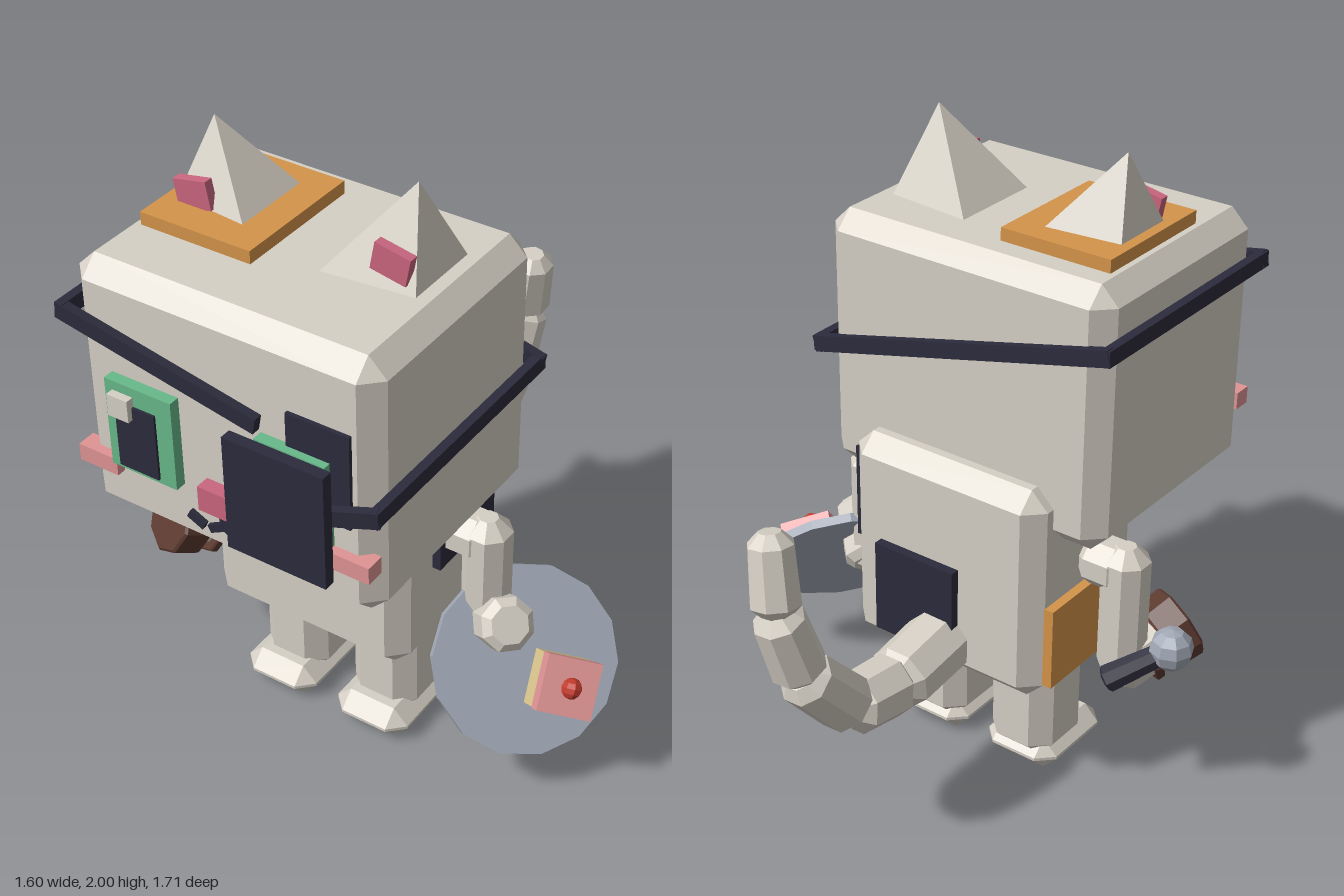
import * as THREE from 'three';
import { ConvexGeometry } from 'three/addons/geometries/ConvexGeometry.js';

const V = (x, y, z) => new THREE.Vector3(x, y, z);
const UP = V(0, 1, 0);
const mat = (name, color) => Object.assign(new THREE.MeshStandardMaterial({ color }), { name });

export function createModel() {
  const model = new THREE.Group();
  const ivory = mat('ivory', 0xd6d0c5), navy = mat('navy', 0x2c2b3c);
  const green = mat('green', 0x67b88a), orange = mat('orange', 0xd4944a);
  const brown = mat('brown', 0x5c3a30), red = mat('red', 0xc23a2c);
  const cream = mat('cream', 0xdcc88e), grey = mat('grey', 0xa0a7b4);
  const pink = mat('pink', 0xdf9494), rose = mat('rose', 0xca667f);

  const add = (name, geo, m, parent = model) => {
    const mesh = new THREE.Mesh(geo, m);
    mesh.name = name;
    parent.add(mesh);
    return mesh;
  };
  const flat = (geo) => {
    const g = geo.index ? geo.toNonIndexed() : geo;
    g.computeVertexNormals();
    return g;
  };

  // Plain box given by its limits on each axis
  const box = (name, m, [x0, x1], [y0, y1], [z0, z1]) => {
    const b = add(name, new THREE.BoxGeometry(x1 - x0, y1 - y0, z1 - z0), m);
    b.position.set((x0 + x1) / 2, (y0 + y1) / 2, (z0 + z1) / 2);
    return b;
  };

  // Box with every edge cut off at 45 degrees
  const chamferBox = (name, m, [x0, x1], [y0, y1], [z0, z1], c) => {
    const h = [(x1 - x0) / 2, (y1 - y0) / 2, (z1 - z0) / 2], pts = [];
    for (const sx of [-1, 1]) for (const sy of [-1, 1]) for (const sz of [-1, 1])
      for (let k = 0; k < 3; k++) {
        const d = h.map((v, i) => (i === k ? v : v - c));
        pts.push(V(sx * d[0], sy * d[1], sz * d[2]));
      }
    const b = add(name, new ConvexGeometry(pts), m);
    b.position.set((x0 + x1) / 2, (y0 + y1) / 2, (z0 + z1) / 2);
    return b;
  };

  // Faceted limb piece with cut ends, running from a to b
  const limb = (name, m, a, b, r0, r1 = r0, c = 0.04, sides = 8) => {
    const dir = b.clone().sub(a), len = dir.length();
    const profile = [[0, 0], [Math.max(r0 - c, 0.01), 0], [r0, c], [r1, len - c], [Math.max(r1 - c, 0.01), len], [0, len]];
    const geo = new THREE.LatheGeometry(profile.map(([x, y]) => new THREE.Vector2(x, y)), sides, Math.PI / sides);
    const mesh = add(name, flat(geo), m);
    mesh.position.copy(a);
    mesh.quaternion.setFromUnitVectors(UP, dir.normalize());
    return mesh;
  };

  // Straight strip from a to b
  const bar = (name, m, a, b, thick, height) => {
    const s = add(name, new THREE.BoxGeometry(thick, height, a.distanceTo(b)), m);
    s.position.copy(a).add(b).multiplyScalar(0.5);
    s.lookAt(b);
    return s;
  };

  // Head and body
  chamferBox('head', ivory, [-0.58, 0.405], [0.91, 1.74], [-0.04, 0.75], 0.057);
  chamferBox('body', ivory, [-0.43, 0.262], [0.38, 1.09], [-0.125, 0.42], 0.057);
  box('sidePatch', navy, [0.25, 0.29], [0.69, 1.0], [-0.05, 0.25]);
  box('backPatch', navy, [-0.155, 0.135], [0.46, 0.765], [-0.155, -0.11]);
  box('hipPatch', orange, [-0.46, -0.42], [0.44, 0.71], [-0.07, 0.2]);

  // Ears with pink inner plates, mirrored about the head centre
  const mid = -0.087;
  box('earBase', orange, [-0.505, -0.14], [1.73, 1.78], [0.085, 0.52]);
  for (const s of [1, -1]) {
    const X = (x) => mid + s * x;
    add('ear', new ConvexGeometry([
      V(X(0.112), 1.735, 0.135), V(X(0.397), 1.735, 0.165), V(X(0.397), 1.735, 0.42),
      V(X(0.112), 1.735, 0.45), V(X(0.325), 2.0, 0.295)]), ivory);
    const inner = add('innerEar', new THREE.BoxGeometry(0.112, 0.085, 0.03), rose);
    inner.position.set(X(0.318), 1.815, 0.405);
    inner.rotation.z = -s * 0.19;
    box('cheek', pink, s > 0 ? [0.268, 0.4] : [-0.575, -0.44], [1.08, 1.135], [0.72, 0.78]);
  }

  // Eyes: the left one lies under the patch
  for (const dx of [0, 0.497]) {
    box('iris', green, [-0.45 + dx, -0.225 + dx], [1.125, 1.415], [0.74, 0.785]);
    box('pupil', navy, [-0.415 + dx, -0.28 + dx], [1.14, 1.355], [0.78, 0.793]);
    box('eyeShine', ivory, [-0.425 + dx, -0.355 + dx], [1.315, 1.385], [0.78, 0.81]);
  }
  box('eyePatch', navy, [0.003, 0.32], [1.085, 1.45], [0.825, 0.86]);
  box('browPatch', navy, [0.135, 0.333], [1.22, 1.52], [0.74, 0.762]);

  // Strap around the head
  const strap = [V(0.035, 1.45, 0.765), V(-0.595, 1.57, 0.765), V(-0.595, 1.57, -0.05),
    V(0.42, 1.31, -0.05), V(0.42, 1.31, 0.775), V(0.3, 1.285, 0.805)];
  for (let i = 0; i < strap.length - 1; i++) {
    const d = strap[i + 1].clone().sub(strap[i]).setLength(0.012);
    bar('strap', navy, strap[i].clone().sub(d), strap[i + 1].clone().add(d), 0.028, 0.05);
  }

  // Nose and mouth
  box('nose', rose, [-0.145, -0.033], [1.1, 1.18], [0.74, 0.795]);
  box('mouthStem', navy, [-0.102, -0.072], [1.03, 1.1], [0.745, 0.763]);
  for (const s of [1, -1]) {
    bar('mouth', navy, V(mid, 1.04, 0.755), V(mid + s * 0.052, 1.012, 0.755), 0.018, 0.025);
    bar('mouth', navy, V(mid + s * 0.07, 1.012, 0.755), V(mid + s * 0.122, 1.037, 0.755), 0.018, 0.028);
  }

  // Legs and feet
  for (const s of [1, -1]) {
    const x = mid + s * 0.167;
    chamferBox('leg', ivory, [x - 0.115, x + 0.115], [0.04, 0.48], [0.03, 0.28], 0.055);
    const f = x + s * 0.005;
    chamferBox('foot', ivory, [f - 0.13, f + 0.13], [0, 0.11], [0.03, 0.36], 0.05);
  }

  // Arms
  for (const s of [1, -1]) {
    const x = mid + s * 0.476;
    limb('shoulder', ivory, V(mid + s * 0.33, 0.79, 0.15), V(x + s * 0.02, 0.79, 0.15), 0.08);
    limb('upperArm', ivory, V(x, 0.42, 0.15), V(x, 0.87, 0.15), 0.075, 0.075, 0.045);
  }
  limb('leftForearm', ivory, V(0.38, 0.46, 0.12), V(0.525, 0.585, 0.24), 0.085, 0.085, 0.025);
  limb('rightForearm', ivory, V(-0.55, 0.45, 0.12), V(-0.625, 0.52, 0.3), 0.09, 0.09, 0.02);

  // Flared brown piece with a dark grip and a round knob
  limb('cuffRing', brown, V(-0.58, 0.465, 0.215), V(-0.592, 0.478, 0.24), 0.105, 0.105, 0.005);
  limb('cuff', brown, V(-0.605, 0.495, 0.27), V(-0.648, 0.54, 0.352), 0.112, 0.118, 0.008);
  limb('grip', navy, V(-0.57, 0.45, 0.06), V(-0.725, 0.57, 0.15), 0.045, 0.035, 0.008);
  add('knob', flat(new THREE.SphereGeometry(0.068, 8, 6)), grey).position.set(-0.73, 0.575, 0.155);

  // Round tray with a small cake and cherry; the tray's own z axis is its normal
  const tray = new THREE.Group();
  tray.name = 'tray';
  tray.position.set(0.54, 0.405, 0.17);
  tray.lookAt(tray.position.clone().add(V(0.63, 0.56, 0.54)));
  model.add(tray);
  const disc = flat(new THREE.CylinderGeometry(0.288, 0.288, 0.03, 14));
  add('trayDisc', disc, grey, tray).rotation.x = Math.PI / 2;
  const cake = new THREE.Group();
  cake.name = 'cake';
  cake.position.set(0.08, -0.08, 0.01);
  cake.rotation.z = -0.4;
  tray.add(cake);
  add('cakeSponge', new THREE.BoxGeometry(0.165, 0.165, 0.09), cream, cake).position.z = 0.045;
  add('cakeIcing', new THREE.BoxGeometry(0.17, 0.17, 0.05), pink, cake).position.z = 0.115;
  add('cherry', flat(new THREE.SphereGeometry(0.032, 8, 6)), red, cake).position.z = 0.155;

  // Tail of overlapping segments
  const tail = [V(-0.09, 0.5, -0.07), V(-0.095, 0.465, -0.34), V(-0.085, 0.485, -0.54),
    V(-0.065, 0.685, -0.72), V(-0.04, 0.91, -0.785), V(0, 1.15, -0.755)];
  for (let i = 0; i < 5; i++) {
    const d = tail[i + 1].clone().sub(tail[i]).setLength(i < 4 ? 0.02 : 0);
    limb('tailSegment', ivory, tail[i], tail[i + 1].clone().add(d), 0.108 - i * 0.008, 0.104 - i * 0.009, 0.035);
  }
  return model;
}
